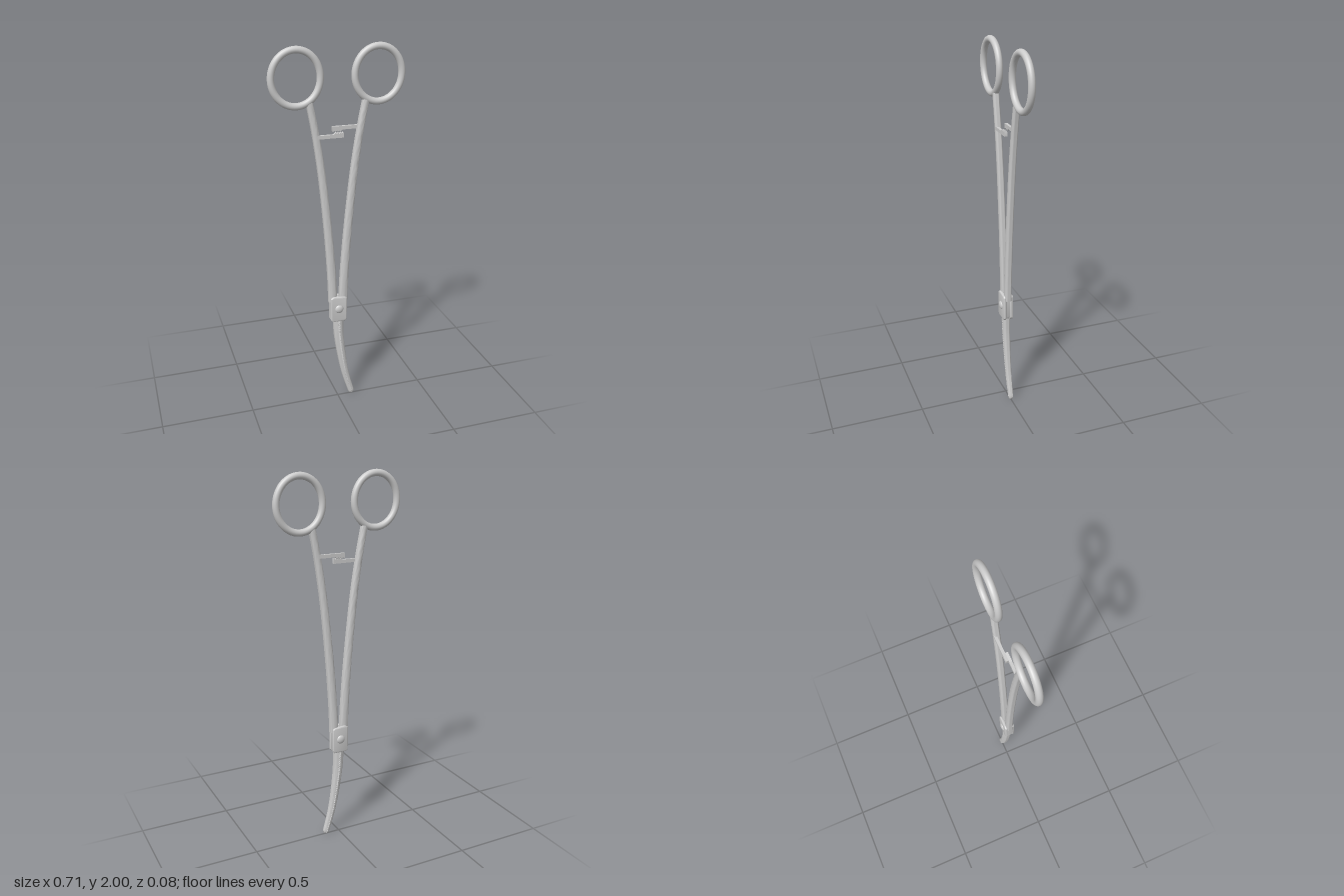
import * as THREE from 'three';
import { toCreasedNormals } from 'three/addons/utils/BufferGeometryUtils.js';

const metal = new THREE.MeshStandardMaterial({ color: 0xcccccc, metalness: 0.2, roughness: 0.5 });

function part(name, geometry, parent) {
  const mesh = new THREE.Mesh(geometry, metal);
  mesh.name = name;
  parent.add(mesh);
  return mesh;
}

const pathXY = (points) => new THREE.CatmullRomCurve3(points.map(([x, y]) => new THREE.Vector3(x, y, 0)));

// Sweep a section along a path in the xy plane; section(t, angle, row) gives [across, depth]
function loft(path, rows, sides, section, crease) {
  const pos = [], index = [];
  for (let i = 0; i <= rows; i++) {
    const t = i / rows, p = path.getPointAt(t), d = path.getTangentAt(t);
    for (let j = 0; j < sides; j++) {
      const [u, w] = section(t, (j / sides) * Math.PI * 2, i);
      pos.push(p.x + d.y * u, p.y - d.x * u, w);
    }
  }
  for (let i = 0; i < rows; i++) {
    for (let j = 0; j < sides; j++) {
      const a = i * sides + j, b = i * sides + (j + 1) % sides;
      index.push(a, a + sides, b, b, a + sides, b + sides);
    }
  }
  // end caps
  const start = path.getPointAt(0), end = path.getPointAt(1), last = rows * sides;
  const c = pos.length / 3;
  pos.push(start.x, start.y, 0, end.x, end.y, 0);
  for (let j = 0; j < sides; j++) {
    const k = (j + 1) % sides;
    index.push(c, j, k, c + 1, last + k, last + j);
  }
  const geo = new THREE.BufferGeometry();
  geo.setAttribute('position', new THREE.Float32BufferAttribute(pos, 3));
  geo.setIndex(index);
  geo.computeVertexNormals();
  return toCreasedNormals(geo, crease);
}

// Outline extruded along z with a bevel, centred on z
function plate(points, depth, bevel, z) {
  const shape = new THREE.Shape(points.map(([x, y]) => new THREE.Vector2(x, y)));
  const geo = new THREE.ExtrudeGeometry(shape, {
    depth: depth - 2 * bevel, bevelEnabled: bevel > 0, bevelThickness: bevel,
    bevelSize: bevel, bevelOffset: -bevel, bevelSegments: 3,
  });
  geo.translate(0, 0, z - depth / 2 + bevel);
  return toCreasedNormals(geo, 0.6);
}

const lerp = THREE.MathUtils.lerp;
const soft = (v) => Math.sign(v) * Math.pow(Math.abs(v), 0.75);

// Finger ring and curved shank of one side
function handle(side, group) {
  const rim = [];
  for (let i = 0; i < 24; i++) {
    const a = (i / 24) * Math.PI * 2;
    rim.push(new THREE.Vector3(side * 0.212 + 0.1235 * Math.cos(a), 1.846 + 0.1365 * Math.sin(a), 0));
  }
  part('fingerRing', new THREE.TubeGeometry(new THREE.CatmullRomCurve3(rim, true), 72, 0.0178, 16, true), group);

  const path = pathXY([[0.029, 0.62], [0.034, 0.75], [0.049, 0.97], [0.067, 1.17],
    [0.09, 1.38], [0.118, 1.57], [0.148, 1.73]].map(([x, y]) => [side * x, y]));
  part('shank', loft(path, 40, 20, (t, a) => [
    lerp(0.025, 0.018, t) * soft(Math.cos(a)),
    lerp(0.019, 0.0165, t) * soft(Math.sin(a)),
  ], 0.9), group);
}

// Ratchet arm with saw teeth on its inner edge
function ratchet(side, group) {
  // side -1 carries teeth upward, side +1 carries teeth downward
  const pts = [[0.115, -0.022], [-0.027, -0.022], [-0.027, 0]];
  for (let i = 0; i < 4; i++) {
    const x = -0.027 + i * 0.0125;
    pts.push([x + 0.002, 0.006], [x + 0.0125, -0.001]);
  }
  pts.push([0.026, -0.004], [0.115, -0.004]);
  // a half turn about z keeps the winding
  const outline = pts.map(([x, y]) => [side * x, 1.569 - side * y]);
  if (side < 0) outline.forEach((p, i) => { p[1] = 1.562 + pts[i][1]; });
  else outline.forEach((p, i) => { p[1] = 1.573 - pts[i][1]; });
  part('ratchetArm', plate(outline, 0.0145, 0, -side * 0.0095), group);
}

// Half-round jaw with a serrated inner face, curving toward +x
function jaw(side, group) {
  const path = pathXY([[0.001, 0.53], [0.006, 0.4], [0.022, 0.27], [0.046, 0.14], [0.085, 0.003]]);
  part('jaw', loft(path, 100, 24, (t, a, row) => {
    const k = t > 0.96 ? Math.sqrt(Math.max(0.02, 1 - ((t - 0.96) / 0.04) ** 2)) : 1;
    const gap = lerp(0.005, 0.0006, Math.min(1, t * 1.3)) + (row % 2) * 0.002 * k;
    const wide = lerp(0.031, 0.017, t) * k;
    const c = side * Math.cos(a);
    return [side * Math.max(c * wide, Math.min(gap, wide)), lerp(0.023, 0.014, t) * k * soft(Math.sin(a))];
  }, 0.7), group);
}

// Box joint: two cheeks of one half around the tongue of the other
function boxJoint(group) {
  const cheek = [[-0.036, 0.5], [0.036, 0.5], [0.045, 0.512], [0.045, 0.638],
    [0.036, 0.646], [-0.03, 0.652], [-0.045, 0.642], [-0.045, 0.512]];
  for (const s of [-1, 1]) {
    part('jointCheek', plate(cheek, 0.019, 0.006, s * 0.0185), group);
    const head = part('screwHead', new THREE.SphereGeometry(1, 28, 14), group);
    head.scale.set(0.024, 0.024, 0.012);
    head.position.set(0, 0.577, s * 0.026);
  }
  const tongue = [[-0.034, 0.504], [0.034, 0.504], [0.041, 0.52], [0.041, 0.64], [-0.041, 0.64], [-0.041, 0.52]];
  part('jointTongue', plate(tongue, 0.024, 0.002, 0), group);
  // solid side wall of the outer half
  const wall = [[-0.045, 0.512], [-0.03, 0.504], [-0.03, 0.648], [-0.045, 0.642]];
  part('jointWall', plate(wall, 0.044, 0.001, 0), group);
}

export function createModel() {
  const model = new THREE.Group();
  model.name = 'curvedForceps';
  for (const side of [-1, 1]) {
    const half = new THREE.Group();
    half.name = side > 0 ? 'leftHalf' : 'rightHalf';
    handle(side, half);
    ratchet(side, half);
    jaw(side, half);
    model.add(half);
  }
  boxJoint(model);
  return model;
}
